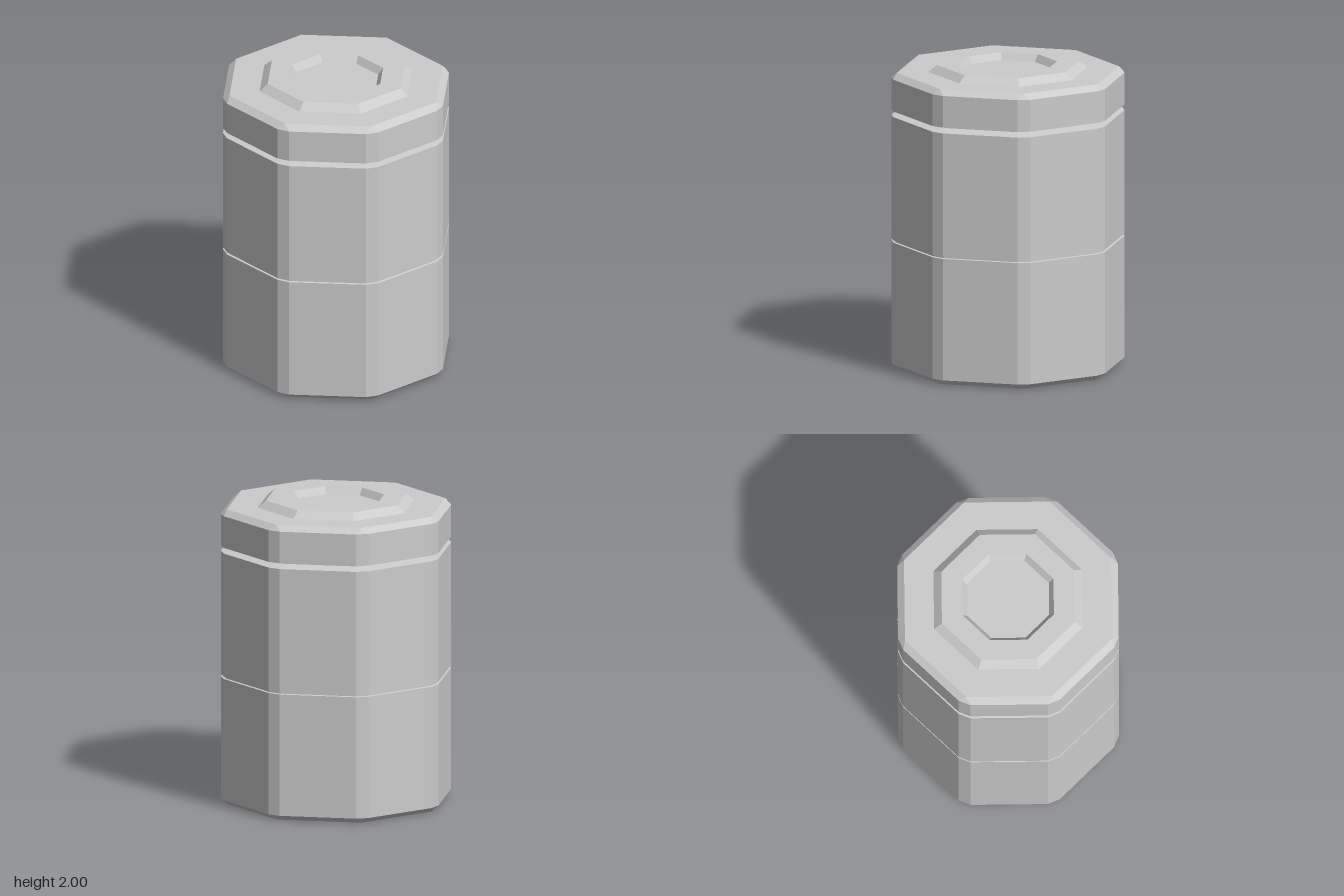
import * as THREE from 'three';

const SIDES = 8;
const material = new THREE.MeshStandardMaterial({ color: 0xcccccc, flatShading: true });

// Octagonal ring with corners on the axes; "cut" is the half width of each chamfered corner.
function ring([r, y, cut = 0]) {
  const points = [];
  for (let i = 0; i < SIDES; i++) {
    const a = (i / SIDES) * Math.PI * 2;
    for (const s of [-cut, cut]) {
      points.push(new THREE.Vector3(
        r * Math.sin(a) + s * Math.cos(a), y, r * Math.cos(a) - s * Math.sin(a)));
    }
  }
  return points;
}

// Skins a list of rings [radius, y, cut], running from bottom to top on the outside.
function loft(name, profile) {
  const rings = profile.map(ring);
  const positions = [];
  const triangle = (a, b, c) => {
    const normal = b.clone().sub(a).cross(c.clone().sub(a));
    if (normal.length() < 1e-8) return; // skip collapsed corners
    for (const p of [a, b, c]) positions.push(p.x, p.y, p.z);
  };
  for (let k = 0; k < rings.length - 1; k++) {
    const low = rings[k], high = rings[k + 1], n = low.length;
    for (let i = 0; i < n; i++) {
      const j = (i + 1) % n;
      triangle(low[i], low[j], high[j]);
      triangle(low[i], high[j], high[i]);
    }
  }
  const geometry = new THREE.BufferGeometry();
  geometry.setAttribute('position', new THREE.Float32BufferAttribute(positions, 3));
  geometry.computeVertexNormals();
  const mesh = new THREE.Mesh(geometry, material);
  mesh.name = name;
  return mesh;
}

export function createModel() {
  const model = new THREE.Group();
  model.name = 'canister';
  const R = 0.755, CUT = 0.042;

  model.add(
    // Closed base with a bevelled foot
    loft('lowerBody', [[0, 0], [0.725, 0], [R, 0.035, CUT], [R, 0.84, CUT]]),
    // Thin groove between the two body halves
    loft('bodySeam', [[R, 0.84, CUT], [0.74, 0.843, CUT], [0.74, 0.853, CUT], [R, 0.856, CUT]]),
    // Upper body with a gently sloping shoulder
    loft('upperBody', [[R, 0.856, CUT], [R, 1.672, CUT], [0.66, 1.687, 0.03]]),
    // Recessed neck under the lid
    loft('neck', [[0.66, 1.687, 0.03], [0.66, 1.71, 0.03]]),
    // Lid with bevelled rim
    loft('lid', [[0.66, 1.71, 0.03], [R, 1.71, CUT], [R, 1.92, CUT], [0.725, 1.955], [0.52, 1.955]]),
    // Raised ring with sloped walls around a sunken centre
    loft('raisedRing', [[0.52, 1.955], [0.465, 2], [0.32, 2], [0.287, 1.955]]),
    loft('lidCentre', [[0.287, 1.955], [0, 1.955]]),
  );
  return model;
}
